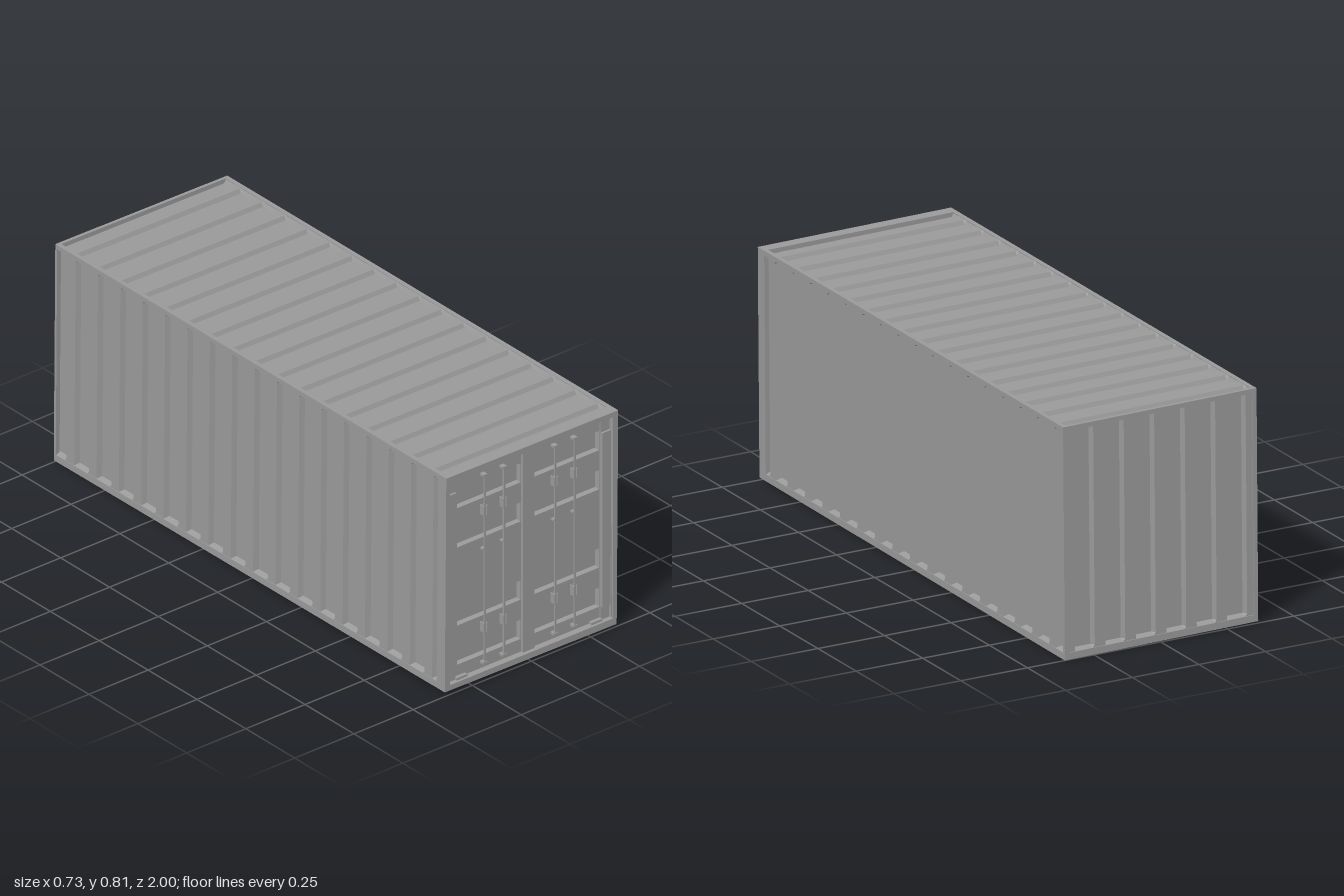
import * as THREE from 'three';

const W = 0.363, H = 0.808, L = 1;   // half width, height, half length
const PITCH = 0.1144, POCKET = 0.075, SLOPE = 0.008;

// The body leans slightly and its underside rises to the front
const lean = (x, y, z) => [
  x + 0.008 * (y - 0.4),
  y + 0.0035 + 0.0045 * (z + 1) * (1 - y / H) - 0.009 * x,
  z,
];

export function createModel() {
  const model = new THREE.Group();
  model.name = 'shippingContainer';
  const steel = new THREE.MeshStandardMaterial({ color: 0x999999, flatShading: true });
  const sheet = steel.clone();
  sheet.side = THREE.DoubleSide;

  const add = (name, geometry, x = 0, y = 0, z = 0, material = steel) => {
    geometry.translate(x, y, z);
    const mesh = new THREE.Mesh(geometry, material);
    mesh.name = name;
    model.add(mesh);
    return mesh;
  };
  const box = (name, w, h, d, x, y, z) => add(name, new THREE.BoxGeometry(w, h, d), x, y, z);

  // Body parts follow the lean
  const addBody = (...args) => {
    const g = add(...args).geometry, p = g.attributes.position;
    for (let i = 0; i < p.count; i++) p.setXYZ(i, ...lean(p.getX(i), p.getY(i), p.getZ(i)));
    g.computeVertexNormals();
  };
  const rail = (name, w, h, d, x, y, z) => addBody(name, new THREE.BoxGeometry(w, h, d), x, y, z);

  const corners = (x0, y0, x1, y1) => [[x0, y0], [x1, y0], [x1, y1], [x0, y1]];
  const points = list => list.map(([x, y]) => new THREE.Vector2(x, y));
  // Plate with four-cornered openings
  const plate = (outer, holes, options) => {
    const shape = new THREE.Shape(points(outer));
    holes.forEach(h => shape.holes.push(new THREE.Path(points(h))));
    return new THREE.ExtrudeGeometry(shape, options);
  };

  // Pressed sheet facing +z: pockets with sloped sides and ends, sunk at the given centres along x
  const corrugated = (half, height, centres, depth) => {
    const profile = [[-half, 0]];
    for (const c of centres) {
      const h = POCKET / 2;
      [[c - h, 0], [c - h + SLOPE, -depth], [c + h - SLOPE, -depth], [c + h, 0]].forEach(([x, z]) =>
        profile.push([Math.min(half, Math.max(-half, x)), z]));
    }
    profile.push([half, 0]);
    const g = new THREE.PlaneGeometry(1, 1, profile.length - 1, 3);
    const p = g.attributes.position;
    const rows = [height / 2, height / 2 - SLOPE, SLOPE - height / 2, -height / 2];
    for (let i = 0; i < p.count; i++) {
      const row = Math.floor(i / profile.length);
      const [x, z] = profile[i % profile.length];
      p.setXYZ(i, x, rows[row], row === 1 || row === 2 ? z : 0);
    }
    return g;
  };
  const series = (first, count) => Array.from({ length: count }, (_, i) => first + i * PITCH);

  // Side walls with their rails
  const wallY = (0.024 + 0.792) / 2, wallH = 0.792 - 0.024;
  for (const s of [1, -1]) {
    const side = s > 0 ? 'left' : 'right';
    const centres = series(-0.975, 18).map(z => -s * z).sort((a, b) => a - b);
    addBody(side + 'Wall', corrugated(L - 0.006, wallH, centres, 0.017).rotateY(s * Math.PI / 2),
      s * (W - 0.002), wallY, 0, sheet);
    rail(side + 'TopRail', 0.016, 0.016, 2 * L, s * (W - 0.008), H - 0.008, 0);
    rail(side + 'BottomRail', 0.018, 0.024, 2 * L, s * (W - 0.009), 0.012, 0);
    rail(side + 'BackPost', 0.016, H, 0.01, s * (W - 0.008), H / 2, -L + 0.005);
  }

  // Roof, with pockets between the cross ridges
  addBody('roof', corrugated(L - 0.006, 2 * W - 0.03, series(-0.987, 18), 0.014)
    .rotateX(-Math.PI / 2).rotateY(-Math.PI / 2), 0, H - 0.002, 0, sheet);

  // Back wall and its rails
  addBody('backWall', corrugated(W - 0.012, wallH, series(-2.5 * PITCH, 6), 0.017).rotateY(Math.PI),
    0, wallY, -L + 0.003, sheet);
  rail('backTopRail', 2 * W, 0.016, 0.012, 0, H - 0.008, -L + 0.006);
  rail('backBottomRail', 2 * W, 0.024, 0.018, 0, 0.012, -L + 0.009);

  // Floor, slightly above the rails' lower edge
  addBody('floor', new THREE.PlaneGeometry(2 * W - 0.03, 2 * L - 0.03).rotateX(Math.PI / 2),
    0, 0.005, 0, sheet);

  // Door frame: leaning outline around a square opening
  const outline = corners(-W, 0, W, H).map(([x, y]) => lean(x, y, L));
  add('doorFrame', plate(outline, [corners(-0.345, 0.035, 0.345, 0.79)],
    { depth: 0.042, bevelEnabled: false }), 0, 0, L - 0.042);
  box('doorBacking', 0.69, 0.755, 0.004, 0, 0.4125, 0.958);
  box('doorCentreStrip', 0.05, 0.755, 0.026, 0, 0.4125, 0.973);

  const pockets = [[0.083, 0.155], [0.23, 0.302], [0.523, 0.595], [0.67, 0.742]];
  for (const s of [1, -1]) {
    const side = s > 0 ? 'left' : 'right';
    // Door leaf with four sunken panels
    const x0 = Math.min(s * 0.025, s * 0.307), x1 = Math.max(s * 0.025, s * 0.307);
    add(side + 'Door', plate(corners(x0, 0.035, x1, 0.79),
      pockets.map(([a, b]) => corners(x0 + 0.002, a, x1 - 0.002, b)),
      { depth: 0, bevelThickness: 0.016, bevelSize: 0.004, bevelSegments: 1 }), 0, 0, 0.96);
    // Hinge strip in three lengths
    for (const [a, b, z] of [[0.035, 0.085, 0.982], [0.085, 0.738, 0.99], [0.738, 0.79, 0.982]])
      box(side + 'HingeStrip', 0.038, b - a, z - 0.96, s * 0.326, (a + b) / 2, (z + 0.96) / 2);
    box(side + 'SillStop', 0.045, 0.008, 0.014, s * 0.285, 0.039, 0.983);

    // Locking rods with end cams, guides and handle brackets
    for (const x of [s * 0.108, s * 0.19]) {
      box(side + 'LockRod', 0.006, 0.71, 0.006, x, 0.41, 0.99);
      for (const y of [0.06, 0.763]) box(side + 'RodCam', 0.017, 0.008, 0.02, x, y, 0.985);
      box(side + 'RodGuide', 0.015, 0.006, 0.016, x, 0.486, 0.983);
      for (const y of [0.193, 0.632]) {
        for (const dx of [-0.006, 0.006])
          box(side + 'RodBracket', 0.004, 0.036, 0.022, x + dx, y, 0.986);
      }
    }
  }
  return model;
}
